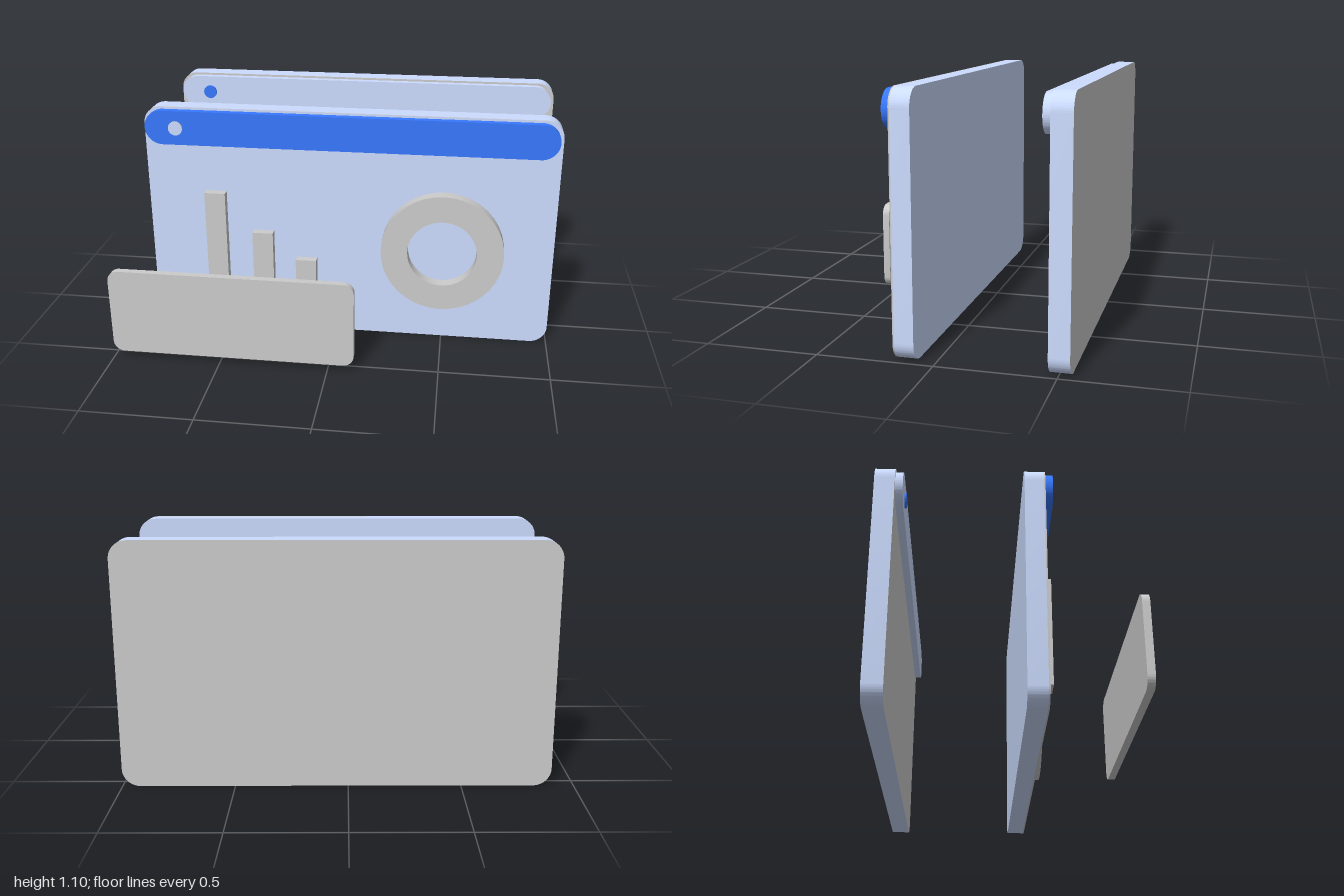
import * as THREE from 'three';
import { toCreasedNormals } from 'three/addons/utils/BufferGeometryUtils.js';

const grey = new THREE.MeshStandardMaterial({ color: 0xcccccc });
const paleBlue = new THREE.MeshStandardMaterial({ color: 0xccdcff });
const blue = new THREE.MeshStandardMaterial({ color: 0x3878ff });

// Rounded rectangle outline
function roundedRect(x0, x1, y0, y1, r) {
  const s = new THREE.Shape();
  s.absarc(x1 - r, y0 + r, r, -Math.PI / 2, 0);
  s.absarc(x1 - r, y1 - r, r, 0, Math.PI / 2);
  s.absarc(x0 + r, y1 - r, r, Math.PI / 2, Math.PI);
  s.absarc(x0 + r, y0 + r, r, Math.PI, Math.PI * 1.5);
  s.closePath();
  return s;
}

// Circular outline with an optional round hole
function disc(x, y, r, hole = 0) {
  const s = new THREE.Shape().absarc(x, y, r, 0, Math.PI * 2);
  if (hole) s.holes.push(new THREE.Path().absarc(x, y, hole, 0, Math.PI * 2, true));
  return s;
}

// Flat plate between two depths, with separate face and rim materials
function plate(name, shape, z0, z1, face = grey, rim = face) {
  let g = new THREE.ExtrudeGeometry(shape, { depth: z1 - z0, bevelEnabled: false, curveSegments: 20 });
  g = toCreasedNormals(g, Math.PI / 5);
  g.translate(0, 0, z0);
  const m = new THREE.Mesh(g, [face, rim]);
  m.name = name;
  return m;
}

const panelShape = () => roundedRect(-0.9, 1, 0, 1.1, 0.08);
const barShape = () => roundedRect(-0.89, 0.985, 0.93, 1.09, 0.08);
const dotShape = () => disc(-0.745, 1.01, 0.033);

export function createModel() {
  const model = new THREE.Group();
  model.name = 'layeredDashboard';

  // Rear window: panel, title bar and button
  const rear = new THREE.Group();
  rear.name = 'rearWindow';
  rear.add(
    plate('rearPanel', panelShape(), -0.55, -0.463, grey, paleBlue),
    plate('rearTitleBar', barShape(), -0.463, -0.43, paleBlue),
    plate('rearButton', dotShape(), -0.43, -0.422, blue),
  );

  // Front window: panel with a thin face sheet, title bar and button
  const front = new THREE.Group();
  front.name = 'frontWindow';
  front.add(
    plate('frontPanel', panelShape(), 0.08, 0.162, paleBlue),
    plate('frontFaceSheet', panelShape(), 0.162, 0.168, paleBlue, grey),
    plate('frontTitleBar', barShape(), 0.168, 0.201, blue),
    plate('frontButton', dotShape(), 0.201, 0.208, paleBlue, grey),
  );

  // Bar chart of three descending columns
  const chart = new THREE.Group();
  chart.name = 'barChart';
  const base = 0.2;
  [[-0.577, 0.7], [-0.355, 0.51], [-0.15, 0.38]].forEach(([x, top], i) => {
    const bar = new THREE.Mesh(new THREE.BoxGeometry(0.098, top - base, 0.039), grey);
    bar.position.set(x, (top + base) / 2, 0.1875);
    bar.name = `chartBar${i + 1}`;
    chart.add(bar);
  });
  front.add(chart);

  // Ring chart
  front.add(plate('ringChart', disc(0.49, 0.46, 0.284, 0.16), 0.168, 0.227));

  // Floating card in front
  model.add(rear, front, plate('floatingCard', roundedRect(-1, 0.12, 0.03, 0.438, 0.05), 0.518, 0.55));
  return model;
}
